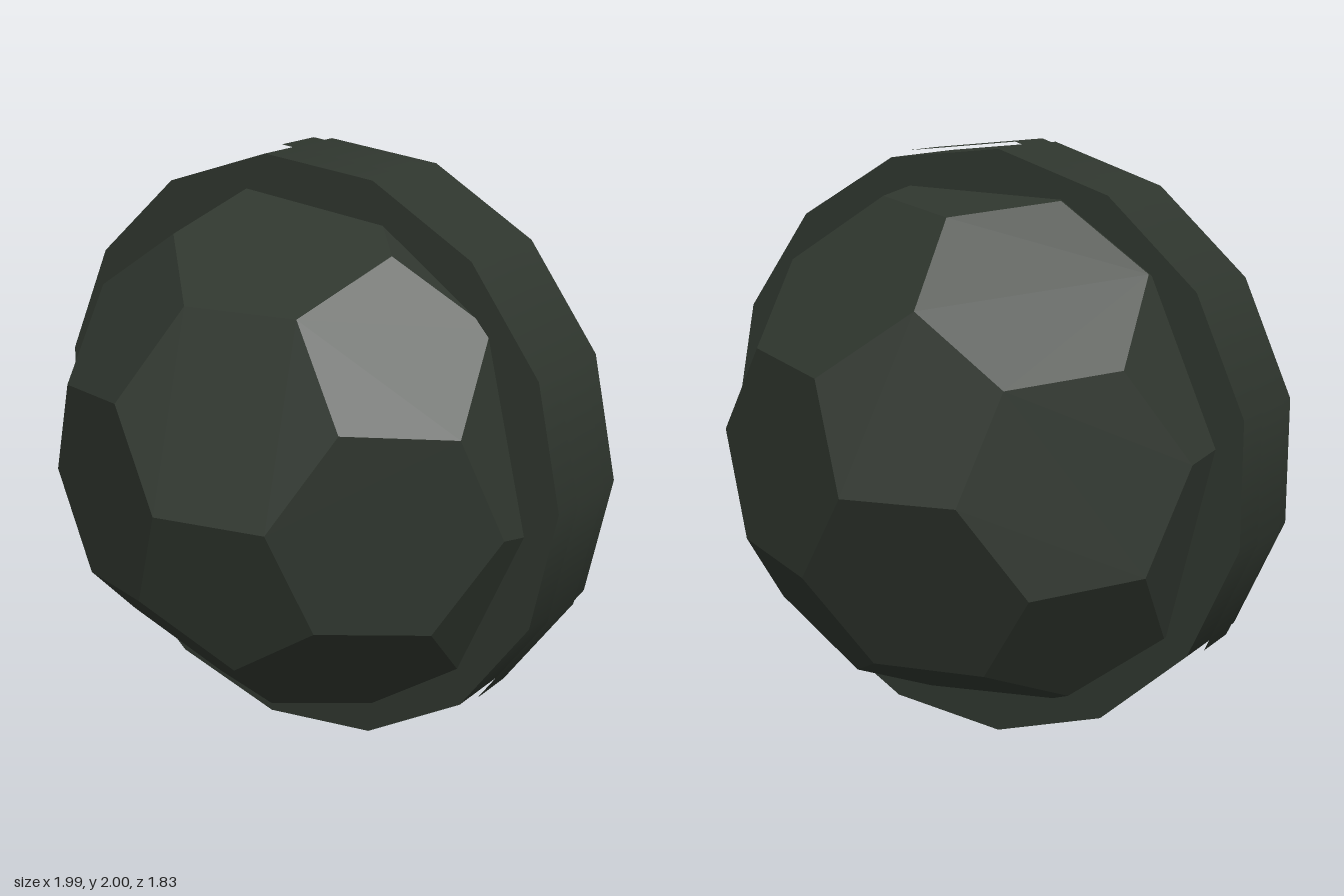
import * as THREE from 'three';
import { ConvexGeometry } from 'three/addons/geometries/ConvexGeometry.js';

const CENTER = new THREE.Vector3(-0.011, 1, 0);

// Corners of a truncated icosahedron: every icosahedron edge cut at its thirds
function truncatedCorners(radius) {
  const phi = (1 + Math.sqrt(5)) / 2;
  const ico = [];
  for (const s of [-1, 1]) {
    for (const t of [-phi, phi]) {
      ico.push(new THREE.Vector3(0, s, t), new THREE.Vector3(s, t, 0), new THREE.Vector3(t, 0, s));
    }
  }
  const corners = [];
  for (const a of ico) {
    for (const b of ico) {
      if (a !== b && a.distanceTo(b) < 2.1) corners.push(a.clone().lerp(b, 1 / 3).setLength(radius));
    }
  }
  // Turn it so one corner points to +z, with its hexagon-hexagon edge running up and to the left
  const a = new THREE.Vector3(0, 1, phi);
  const b = new THREE.Vector3(0, -1, phi);
  const z = a.clone().lerp(b, 1 / 3).normalize();
  const x = b.clone().sub(a).projectOnPlane(z).normalize();
  const y = z.clone().cross(x);
  const turn = new THREE.Matrix4().makeRotationZ(THREE.MathUtils.degToRad(123.9))
    .multiply(new THREE.Matrix4().makeBasis(x, y, z).transpose());
  return corners.map((p) => p.applyMatrix4(turn));
}

// Fifteen-sided band around the z axis with one corner at +x
function band(name, radius, zBack, zFront, open, material) {
  const geometry = new THREE.CylinderGeometry(radius, radius, zFront - zBack, 15, 1, open);
  geometry.rotateY(-Math.PI / 2).rotateX(Math.PI / 2).rotateZ(Math.PI / 2);
  // Bring the first corner exactly onto +x
  const p = geometry.attributes.position;
  geometry.rotateZ(-Math.atan2(p.getY(0), p.getX(0)));
  const mesh = new THREE.Mesh(geometry, material);
  mesh.name = name;
  mesh.position.set(CENTER.x, CENTER.y, (zFront + zBack) / 2);
  return mesh;
}

export function createModel() {
  const group = new THREE.Group();
  group.name = 'bandedBall';
  const darkGreen = new THREE.MeshStandardMaterial({ color: 0x2f362e });
  darkGreen.name = 'darkGreen';

  // Faceted ball of pentagons and hexagons
  const ball = new THREE.Mesh(new ConvexGeometry(truncatedCorners(0.917)), darkGreen);
  ball.name = 'ball';
  ball.position.copy(CENTER);
  group.add(ball);

  // Wide closed band, and the slightly raised open strip around its middle
  group.add(band('wideBand', 0.989, -0.17, 0.2, false, darkGreen));
  group.add(band('raisedStrip', 1.0055, -0.068, 0.108, true, darkGreen));
  return group;
}
